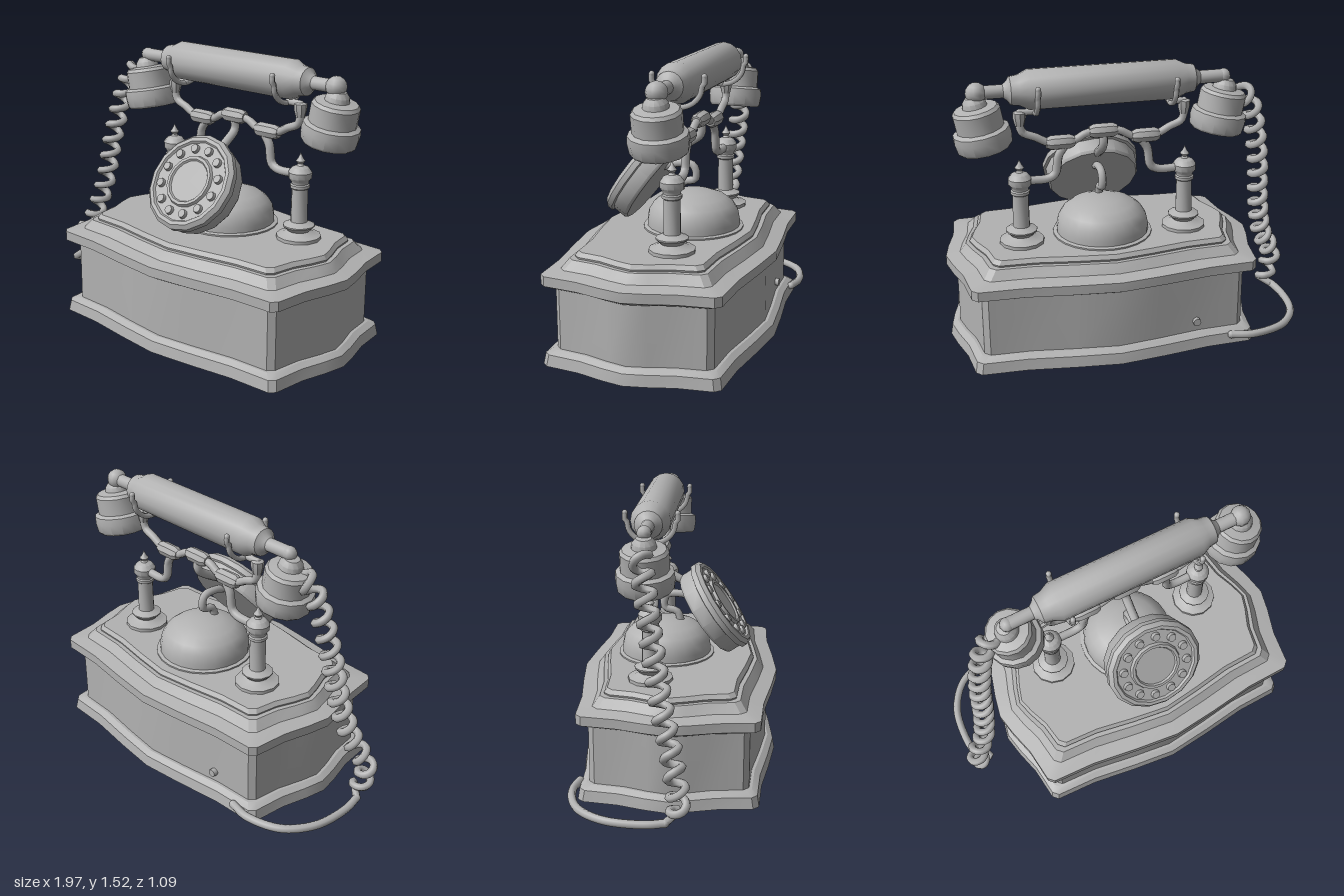
import * as THREE from 'three';
import { toCreasedNormals } from 'three/addons/utils/BufferGeometryUtils.js';

const CX = 0.14;        // centre line of the cabinet
const AXIS_Z = -0.12;   // plane of posts, cradle and handset

export function createModel() {
  const root = new THREE.Group();
  root.name = 'antiqueTelephone';
  const phone = new THREE.Group();
  phone.name = 'phone';
  phone.position.x = CX;
  root.add(phone);

  const grey = new THREE.MeshStandardMaterial({ color: 0xb2b2b2 });
  grey.name = 'grey';

  const V = (x, y, z) => new THREE.Vector3(x, y, z);
  const add = (name, geo, parent = phone, pos = [0, 0, 0]) => {
    const m = new THREE.Mesh(geo, grey);
    m.name = name;
    m.position.set(...pos);
    parent.add(m);
    return m;
  };
  const lathe = (profile, sides) => toCreasedNormals(
    new THREE.LatheGeometry(profile.map(p => new THREE.Vector2(...p)), sides), 0.6);
  const ball = r => new THREE.SphereGeometry(r, 10, 8);

  // Tube through points, with rounded ends
  const tube = (name, pts, r, parent = phone, seg = 20, sides = 8) => {
    const g = new THREE.Group();
    g.name = name;
    parent.add(g);
    const curve = new THREE.CatmullRomCurve3(pts, false, 'centripetal');
    add(name + 'Rod', new THREE.TubeGeometry(curve, seg, r, sides), g);
    for (const p of [pts[0], pts[pts.length - 1]]) add(name + 'End', ball(r), g, p.toArray());
    return g;
  };

  // Cabinet outline: bowed on all four sides, with clipped corners
  const outline = d => {
    const X = 0.765 - d, Z = 0.475 - d, bx = 0.085, bz = 0.07, c = 0.03;
    const q = [[X + bx, 0], [X + 0.72 * bx, 0.25 * Z], [X + 0.25 * bx, 0.55 * Z], [X, Z - c],
      [X - c, Z], [0.65 * X, Z + 0.12 * bz], [0.32 * X, Z + 0.62 * bz], [0, Z + bz]];
    const half = [...q, ...q.slice(0, -1).reverse().map(([x, z]) => [-x, z])];
    return [...half, ...half.slice(1, -1).reverse().map(([x, z]) => [x, -z])];
  };
  // Closed stack of outlines, each layer [height, inset]
  const loft = layers => {
    const pos = [], idx = [], n = outline(0).length;
    for (const [y, d] of layers) for (const [x, z] of outline(d)) pos.push(x, y, z);
    const bottom = pos.length / 3, top = bottom + 1, last = (layers.length - 1) * n;
    pos.push(0, layers[0][0], 0, 0, layers[layers.length - 1][0], 0);
    for (let i = 0; i < n; i++) {
      const j = (i + 1) % n;
      for (let k = 0; k < last; k += n) idx.push(k + i, k + n + i, k + j, k + j, k + n + i, k + n + j);
      idx.push(bottom, i, j, top, last + j, last + i);
    }
    const g = new THREE.BufferGeometry();
    g.setAttribute('position', new THREE.Float32BufferAttribute(pos, 3));
    g.setIndex(idx);
    return toCreasedNormals(g, 0.45);
  };
  add('foot', loft([[0, 0], [0.06, 0.01], [0.08, 0.04]]));
  add('cabinet', loft([[0.07, 0.055], [0.42, 0.055]]));
  add('cornice', loft([[0.405, 0.045], [0.43, 0], [0.482, 0], [0.497, 0.075], [0.545, 0.11]]));
  add('topPlate', loft([[0.535, 0.135], [0.555, 0.13], [0.577, 0.145]]));

  // Bell dome behind the dial
  add('dome', lathe([[0.27, 0.57], [0.27, 0.585], [0.25, 0.59], [0.25, 0.62], [0.24, 0.67], [0.215, 0.71],
    [0.17, 0.745], [0.1, 0.77], [0, 0.78]], 24), phone, [0, 0, -0.08]);

  // Small knob on the back
  const knob = add('backKnob', new THREE.CylinderGeometry(0.022, 0.022, 0.04, 8), phone, [-0.44, 0.14, -0.435]);
  knob.rotation.x = Math.PI / 2;

  // Rotary dial, leaning back
  const dial = new THREE.Group();
  dial.name = 'dial';
  dial.position.set(0, 0.883, 0.25);
  dial.rotation.x = 0.96;
  phone.add(dial);
  add('dialBody', lathe([[0, -0.14], [0.245, -0.14], [0.255, -0.125], [0.255, -0.055], [0.27, -0.05],
    [0.27, -0.02], [0.25, 0], [0.23, 0], [0.222, -0.012], [0.145, -0.012], [0.138, 0.004],
    [0.122, 0.004], [0.115, -0.006], [0, -0.006]], 16), dial);
  for (let i = 0; i < 12; i++) {
    const a = (i + 0.5) * Math.PI / 6;
    add('fingerStud', new THREE.CylinderGeometry(0.022, 0.026, 0.02, 10), dial,
      [0.184 * Math.cos(a), -0.004, 0.184 * Math.sin(a)]);
  }
  tube('dialBracket', [V(0, 0.89, 0.1), V(0, 0.92, 0), V(0, 0.91, -0.08), V(0, 0.84, -0.09),
    V(0, 0.815, -0.02), V(0, 0.76, 0)], 0.022);

  // Posts, arms, cradle forks, earpieces: mirrored on both sides
  const post = [[0.12, 0.57], [0.12, 0.595], [0.085, 0.605], [0.06, 0.62], [0.085, 0.645], [0.085, 0.652],
    [0.045, 0.67], [0.043, 0.85], [0.052, 0.857], [0.052, 0.872], [0.045, 0.878], [0.047, 0.89],
    [0.062, 0.91], [0.063, 0.94], [0.045, 0.965], [0.02, 0.975], [0.014, 0.985], [0.025, 1],
    [0.014, 1.015], [0, 1.045]];
  const cup = [[0, 0], [0.135, 0], [0.145, 0.012], [0.152, 0.065], [0.148, 0.1], [0.125, 0.112], [0.125, 0.205],
    [0.112, 0.222], [0.065, 0.23], [0.06, 0.255], [0.04, 0.28], [0, 0.29]];
  const sleeve = [[0, -0.075], [0.028, -0.075], [0.04, -0.05], [0.04, 0.05], [0.028, 0.075], [0, 0.075]];

  for (const s of [-1, 1]) {
    const side = s > 0 ? 'left' : 'right';
    const P = (x, y, z = AXIS_Z) => V(s * x, y, z);
    add(side + 'Post', lathe(post, 12), phone, [s * 0.45, 0, AXIS_Z]);
    tube(side + 'Arm', [P(0.43, 0.925), P(0.3, 0.925), P(0.26, 0.95), P(0.24, 1.05), P(0.2, 1.11)], 0.024);
    tube(side + 'CradleRod', [P(0, 1.165), P(0.09, 1.16), P(0.16, 1.125), P(0.29, 1.125), P(0.36, 1.16),
      P(0.425, 1.19), P(0.44, 1.23), P(0.44, 1.27)], 0.022, phone, 30);
    const sl = add(side + 'Sleeve', lathe(sleeve, 8), phone, [s * 0.23, 1.122, AXIS_Z]);
    sl.rotation.z = Math.PI / 2;
    add(side + 'ForkSocket', lathe([[0, 1.23], [0.024, 1.23], [0.034, 1.27], [0.034, 1.3], [0, 1.315]], 8),
      phone, [s * 0.44, 0, AXIS_Z]);
    tube(side + 'ForkStem', [P(0.44, 1.3), P(0.36, 1.3)], 0.018, phone, 2);

    // U-shaped fork holding the handle
    const u = [P(0.36, 1.455, AXIS_Z - 0.137), P(0.36, 1.42, AXIS_Z - 0.137)];
    for (let i = 0; i <= 8; i++) {
      const a = Math.PI * (1 + i / 8);
      u.push(P(0.36, 1.41 + 0.115 * Math.sin(a), AXIS_Z + 0.127 * Math.cos(a)));
    }
    u.push(P(0.36, 1.42, AXIS_Z + 0.137), P(0.36, 1.455, AXIS_Z + 0.137));
    tube(side + 'Fork', u, 0.015, phone, 28, 6);

    const c = add(side + 'Earpiece', lathe(cup, 14), phone, [s * 0.62, 1.125, AXIS_Z]);
    c.rotation.z = -s * 0.19;
    add(side + 'HandleJoint', ball(s > 0 ? 0.055 : 0.038), phone, [s * 0.655, 1.42, AXIS_Z]);
  }
  const mid = add('centreSleeve', lathe(sleeve, 8), phone, [0, 1.167, AXIS_Z]);
  mid.rotation.z = Math.PI / 2;
  tube('centreStem', [V(0, 1.16, AXIS_Z), V(0, 1.09, -0.12), V(0, 1.04, -0.06), V(0, 0.97, 0.06)], 0.024);

  // Handle
  const end = [[0.035, 0.66], [0.035, 0.52], [0.05, 0.5], [0.073, 0.485], [0.08, 0.44], [0.105, 0.39]];
  const handle = add('handle', lathe([[0, -0.66], ...end.map(([r, y]) => [r, -y]),
    ...end.slice().reverse(), [0, 0.66]], 16), phone, [0, 1.42, AXIS_Z]);
  handle.rotation.z = -Math.PI / 2;

  // Coiled cord from the right earpiece down to the floor
  const spine = new THREE.CatmullRomCurve3([V(-0.6, 1.35, -0.13), V(-0.67, 1.26, -0.11), V(-0.75, 0.94, -0.06),
    V(-0.79, 0.62, -0.01), V(-0.84, 0.41, 0.04), V(-0.92, 0.24, 0.08), V(-0.89, 0.09, 0.08)]);
  const coil = [V(-0.51, 1.37, AXIS_Z)];
  const turns = 14, steps = turns * 10;
  for (let i = 0; i <= steps; i++) {
    const t = i / steps, a = t * turns * 2 * Math.PI, p = spine.getPointAt(t);
    const tan = spine.getTangentAt(t);
    const side = V(0, 0, 1).cross(tan).normalize(), out = tan.clone().cross(side);
    coil.push(p.addScaledVector(side, 0.042 * Math.cos(a)).addScaledVector(out, 0.042 * Math.sin(a)));
  }
  const floorEnd = V(-0.92, 0.06, 0.02);
  coil.push(floorEnd);
  tube('coiledCord', coil, 0.022, root, 420, 6);

  // Straight cable running round to the back
  tube('floorCable', [floorEnd, V(-0.935, 0.055, -0.08), V(-0.91, 0.055, -0.29), V(-0.8, 0.055, -0.44),
    V(-0.61, 0.055, -0.5), V(-0.49, 0.055, -0.48)], 0.022, root, 30);

  return root;
}
